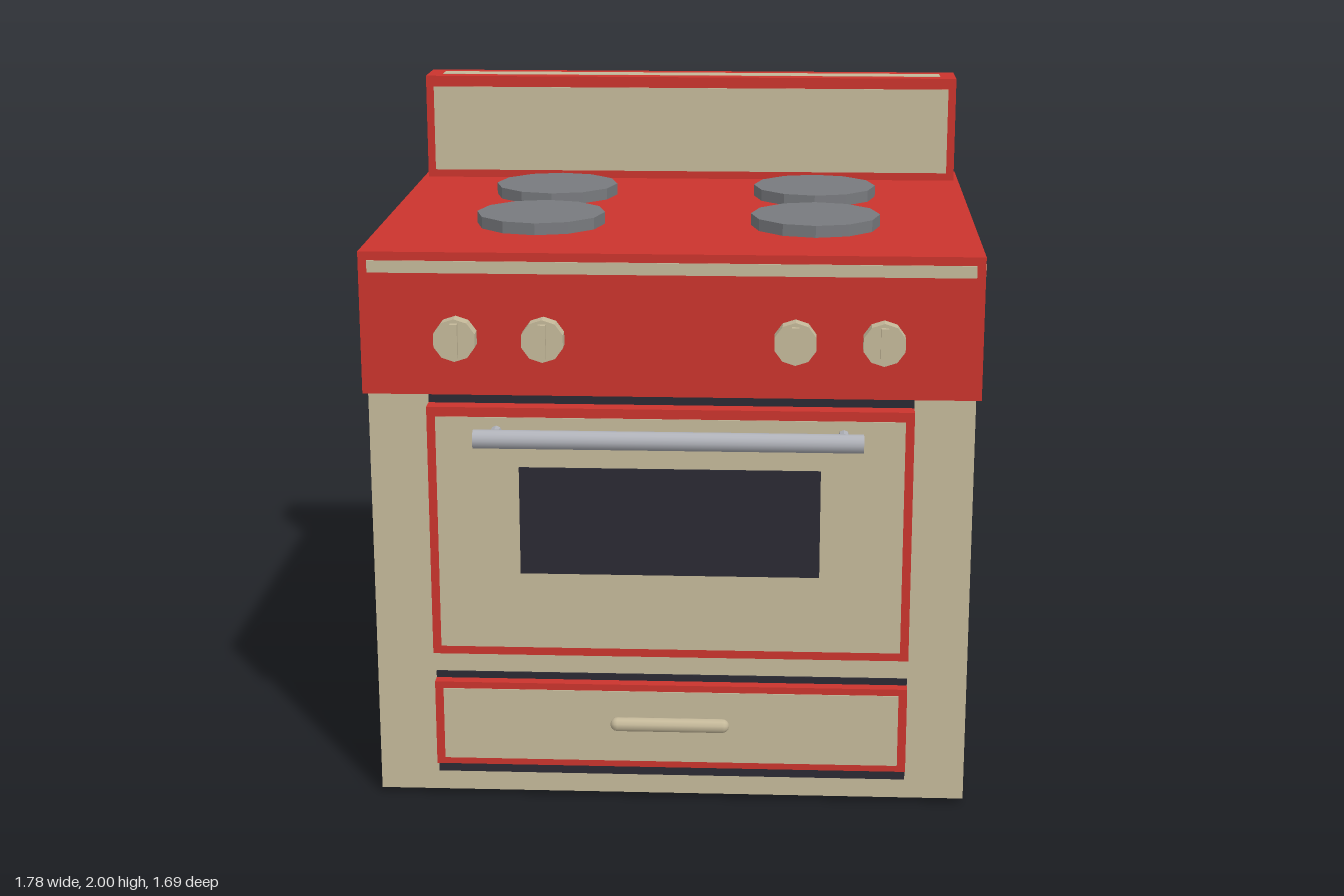
import * as THREE from 'three';

const mat = (name, color) => {
  const m = new THREE.MeshStandardMaterial({ color });
  m.name = name;
  return m;
};

export function createModel() {
  const red = mat('red enamel', 0xcb342d);
  const cream = mat('cream enamel', 0xc5b99a);
  const dark = mat('dark glass', 0x2b2a33);
  const grey = mat('burner grey', 0x787a7e);
  const steel = mat('steel', 0xb0b2b9);
  const stove = new THREE.Group();
  stove.name = 'stove';

  const add = (name, geo, material, x = 0, y = 0, z = 0) => {
    const m = new THREE.Mesh(geo, material);
    m.name = name;
    m.position.set(x, y, z);
    stove.add(m);
    return m;
  };
  // Box given by its min and max on each axis
  const box = (name, material, x0, x1, y0, y1, z0, z1) =>
    add(name, new THREE.BoxGeometry(x1 - x0, y1 - y0, z1 - z0), material,
      (x0 + x1) / 2, (y0 + y1) / 2, (z0 + z1) / 2);
  // Flat-sided cylinder lying along z
  const disc = (name, material, r, depth, sides, x, y, z) => {
    const geo = new THREE.CylinderGeometry(r, r, depth, sides).toNonIndexed();
    geo.computeVertexNormals();
    geo.rotateX(Math.PI / 2);
    return add(name, geo, material, x, y, z);
  };
  const T = 0.003; // raised height of the enamel panels

  // Body and control block
  box('body', cream, -0.87, 0.87, 0.02, 1.25, -0.72, 0.675);
  box('controlBlock', red, -0.885, 0.885, 1.25, 1.665, -0.74, 0.685);
  box('frontTrim', cream, -0.86, 0.86, 1.605, 1.64, 0.68, 0.685 + T);
  box('backTrim', cream, -0.86, 0.86, 1.605, 1.64, -0.74 - T, -0.735);

  // Backsplash with inset panels on every face
  box('backsplash', red, -0.87, 0.87, 1.665, 2, -0.725, -0.562);
  box('backsplashFrontPanel', cream, -0.845, 0.845, 1.69, 1.965, -0.57, -0.562 + T);
  box('backsplashBackPanel', cream, -0.845, 0.845, 1.69, 1.965, -0.725 - T, -0.72);
  box('backsplashTopPanel', cream, -0.82, 0.82, 1.99, 2 + T / 3, -0.677, -0.61);
  for (const s of [-1, 1]) {
    box('backsplashEndPanel', cream, s * 0.87 - T, s * 0.87 + T, 1.69, 1.955, -0.675, -0.607);
    box('sideTrim', cream, s * 0.885 - T, s * 0.885 + T, 1.605, 1.64, -0.72, 0.66);
  }

  // Burners
  for (const x of [-0.41, 0.41]) {
    for (const z of [-0.26, 0.235]) {
      const geo = new THREE.CylinderGeometry(0.192, 0.192, 0.035, 12).toNonIndexed();
      geo.computeVertexNormals();
      add('burner', geo, grey, x, 1.6825, z);
    }
  }

  // Knobs with grip ridges
  for (const x of [-0.61, -0.36, 0.355, 0.605]) {
    disc('knob', cream, 0.062, 0.046, 10, x, 1.42, 0.708);
    box('knobGrip', cream, x - 0.011, x + 0.011, 1.37, 1.47, 0.72, 0.747);
  }

  // Dark gaps around door and drawer
  box('doorGap', dark, -0.695, 0.695, 0.48, 1.25, 0.67, 0.68);
  box('drawerGap', dark, -0.695, 0.695, 0.08, 0.4, 0.67, 0.68);

  // Oven door
  box('door', red, -0.695, 0.695, 0.475, 1.225, 0.676, 0.73);
  box('doorPanel', cream, -0.67, 0.67, 0.5, 1.197, 0.727, 0.73 + T);
  box('doorWindow', dark, -0.432, 0.432, 0.73, 1.05, 0.73, 0.738);
  const bar = new THREE.CylinderGeometry(0.027, 0.027, 1.1, 16);
  add('doorHandle', bar, steel, 0, 1.157, 0.818).rotation.z = Math.PI / 2;
  for (const x of [-0.495, 0.495]) disc('doorHandleStem', steel, 0.016, 0.085, 8, x, 1.157, 0.767);

  // Drawer
  box('drawer', red, -0.695, 0.695, 0.12, 0.38, 0.676, 0.715);
  box('drawerPanel', cream, -0.67, 0.67, 0.14, 0.36, 0.712, 0.715 + T);
  const pull = new THREE.CapsuleGeometry(0.021, 0.308, 4, 10);
  add('drawerHandle', pull, cream, 0, 0.265, 0.738).rotation.z = Math.PI / 2;

  // Vent on the back
  disc('ventRing', cream, 0.12, 0.03, 12, -0.41, 1.18, -0.731);
  disc('ventOpening', dark, 0.085, 0.006, 12, -0.41, 1.18, -0.746);

  // Drooping pipe on the back
  const half = [[0.64, 0.245, -0.74], [0.58, 0.16, -0.772], [0.49, 0.09, -0.802], [0.23, 0.037, -0.824]];
  const points = [
    ...half.map(([x, y, z]) => new THREE.Vector3(-x, y, z)),
    new THREE.Vector3(0, 0.024, -0.828),
    ...half.slice().reverse().map(p => new THREE.Vector3(...p)),
  ];
  const curve = new THREE.CatmullRomCurve3(points);
  add('backPipe', new THREE.TubeGeometry(curve, 24, 0.02, 8), dark);
  for (const i of [0, points.length - 1]) {
    add('backPipeEnd', new THREE.SphereGeometry(0.02, 8, 6), dark, points[i].x, points[i].y, points[i].z);
  }

  return stove;
}
